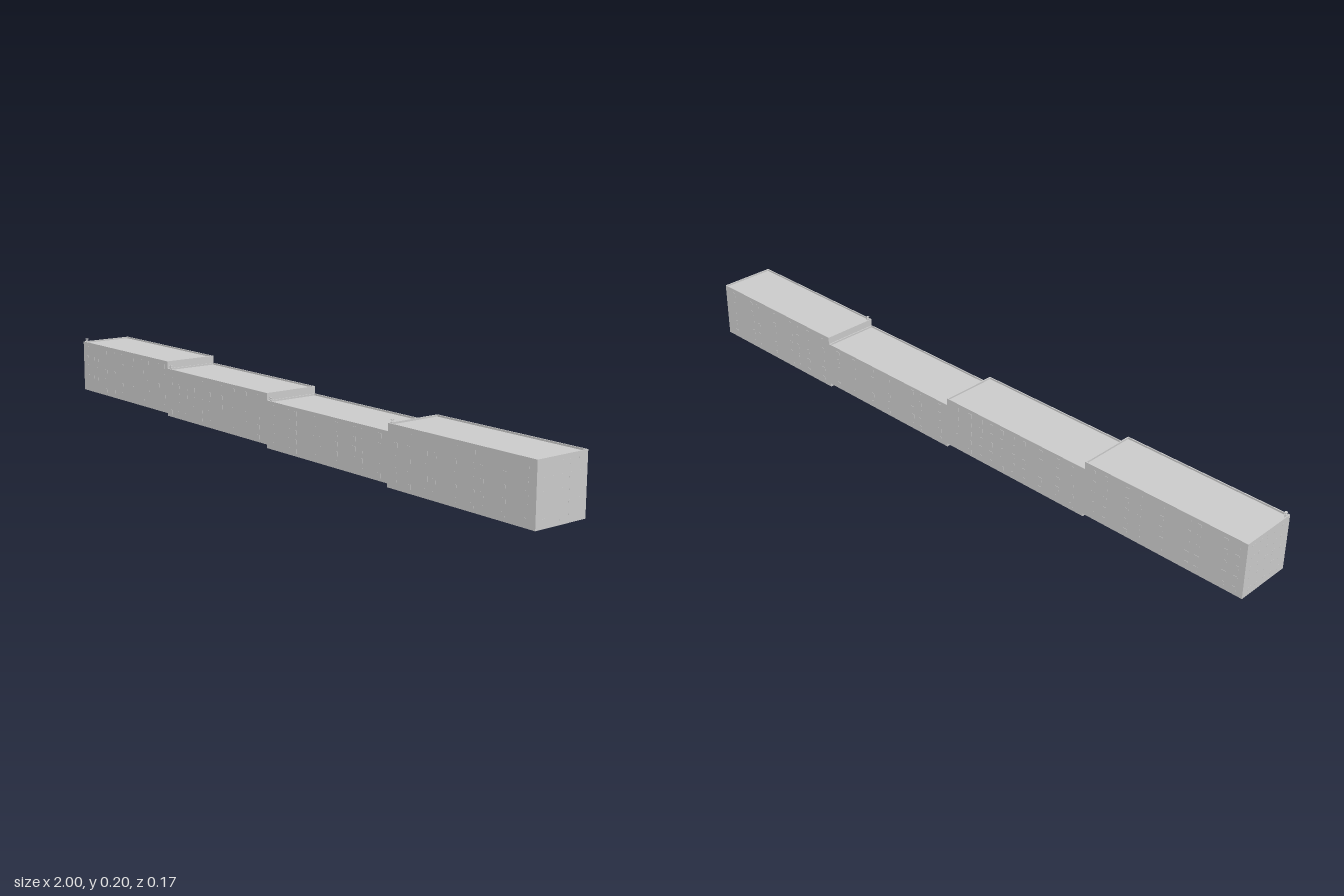
import * as THREE from 'three';
import { mergeGeometries } from 'three/addons/utils/BufferGeometryUtils.js';

const DEPTH = 0.17, LENGTH = 0.5, WALL = 0.003, PARAPET = 0.005, FLOORS = 5;

// Stepped blocks from the model's right to its left; columns are fractions of the length.
const BLOCKS = [
  { bottom: 0.028, top: 0.188, front: [0.05, 0.12, 0.17, 0.28, 0.38, 0.48, 0.6, 0.72, 0.78, 0.9, 0.96], back: [0.05, 0.12, 0.28, 0.34, 0.5, 0.64, 0.72, 0.86, 0.94] },
  { bottom: 0.02, top: 0.166, front: [0.04, 0.12, 0.2, 0.28, 0.36, 0.44, 0.56, 0.68, 0.8, 0.92], back: [0.08, 0.18, 0.3, 0.42, 0.5, 0.58, 0.66, 0.74, 0.82, 0.92] },
  { bottom: 0.01, top: 0.145, front: [0.06, 0.2, 0.25, 0.42, 0.47, 0.6, 0.74, 0.8, 0.94], back: [0.06, 0.22, 0.28, 0.48, 0.62, 0.78, 0.92] },
  { bottom: 0, top: 0.166, front: [0.06, 0.16, 0.28, 0.34, 0.48, 0.6, 0.66, 0.8, 0.94], back: [0.06, 0.2, 0.3, 0.36, 0.52, 0.68, 0.74, 0.92] },
];

const material = new THREE.MeshStandardMaterial({ color: 0xcccccc, flatShading: true });

function box(w, h, d, x, y, z) {
  return new THREE.BoxGeometry(w, h, d).translate(x, y, z);
}

function part(name, geometries) {
  const mesh = new THREE.Mesh(mergeGeometries(geometries), material);
  mesh.name = name;
  return mesh;
}

// Grid of thin panes; place(column, y) returns one pane
function paneGrid(block, columns, place) {
  const step = (block.top - PARAPET - block.bottom) / FLOORS;
  return columns.flatMap((c) =>
    Array.from({ length: FLOORS }, (_, i) => place(c, block.bottom + (i + 0.55) * step)));
}

function createBlock(block, index) {
  const group = new THREE.Group();
  group.name = 'block' + (index + 1);
  const x0 = -1 + index * LENGTH, xc = x0 + LENGTH / 2;
  const roof = block.top - PARAPET, py = block.top - PARAPET / 2;

  // Main volume
  group.add(part('walls', [box(LENGTH, roof - block.bottom, DEPTH, xc, (roof + block.bottom) / 2, 0)]));

  // Low parapet around the flat roof
  const rim = [];
  for (const s of [-1, 1]) {
    rim.push(box(LENGTH, PARAPET, WALL, xc, py, s * (DEPTH - WALL) / 2));
    rim.push(box(WALL, PARAPET, DEPTH - 2 * WALL, xc + s * (LENGTH - WALL) / 2, py, 0));
  }
  group.add(part('parapet', rim));

  // Windows on the long sides
  const facade = (s) => (c, y) => box(0.012, 0.013, 0.001, x0 + c * LENGTH, y, s * DEPTH / 2);
  group.add(part('frontWindows', paneGrid(block, block.front, facade(1))));
  group.add(part('backWindows', paneGrid(block, block.back, facade(-1))));

  // Windows on the two outer ends
  if (index === 0 || index === BLOCKS.length - 1) {
    const x = index === 0 ? -1 : 1;
    group.add(part('endWindows', paneGrid(block, [-0.06, -0.03, 0, 0.03, 0.06],
      (z, y) => box(0.001, 0.013, 0.011, x - Math.sign(x) * 0.0003, y, z))));
  }

  // Small rooftop rack at the front corner: two posts with rungs
  const rx = x0 + 0.007, rz = 0.076, h = 0.014;
  const rack = [-1, 1].map((s) => box(0.0015, h, 0.0015, rx, roof + h / 2, rz + s * 0.0025));
  for (const f of [0.5, 0.93]) rack.push(box(0.007, 0.0015, 0.008, rx, roof + h * f, rz));
  group.add(part('roofRack', rack));
  return group;
}

export function createModel() {
  const model = new THREE.Group();
  model.name = 'steppedApartmentRow';
  BLOCKS.forEach((block, i) => model.add(createBlock(block, i)));
  return model;
}
